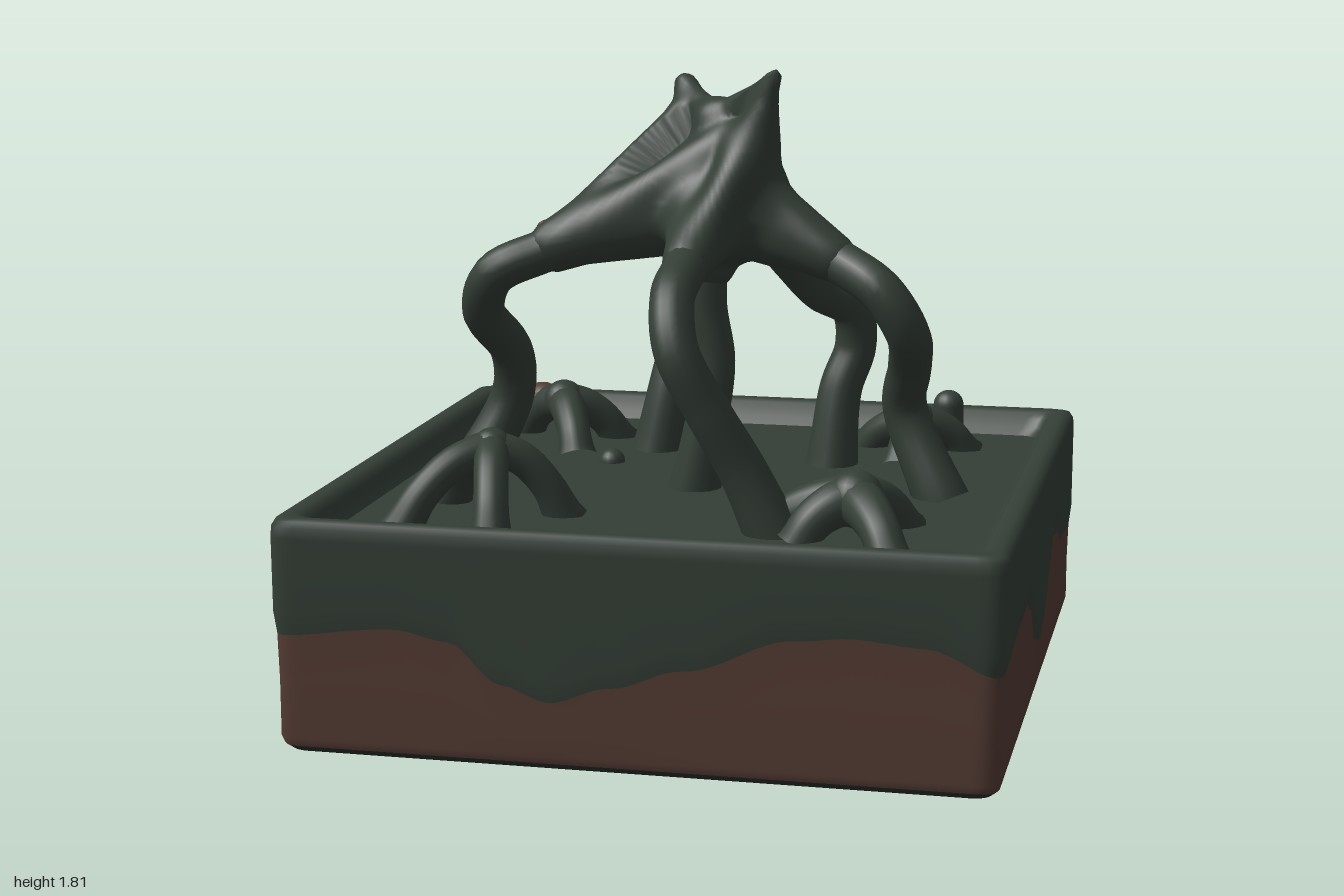
import * as THREE from 'three';
import { mergeVertices } from 'three/addons/utils/BufferGeometryUtils.js';

const moss = new THREE.MeshStandardMaterial({ color: 0x343e36 });
moss.name = 'dark moss green';
const earth = new THREE.MeshStandardMaterial({ color: 0x543b33 });
earth.name = 'earth brown';
const shade = new THREE.MeshStandardMaterial({ color: 0x2c312d });
shade.name = 'underside grey';

const V = (x, y, z) => new THREE.Vector3(x, y, z);

function add(parent, name, geometry, material) {
  const mesh = new THREE.Mesh(geometry, material);
  mesh.name = name;
  parent.add(mesh);
  return mesh;
}

// Height of the soil line along each wall, as [position, height] pairs,
// running anticlockwise: front, +x side, back, -x side.
const soil = [
  [[-1, .33], [-.65, .365], [-.5, .34], [-.35, .23], [-.22, .19], [-.05, .24], [.15, .3], [.45, .4], [.6, .415], [.8, .4], [1, .33]],
  [[-1, .33], [-.6, .36], [-.4, .37], [-.3, .33], [-.15, .2], [0, .16], [.1, .18], [.25, .3], [.38, .375], [.5, .36], [.65, .3], [1, .28]],
  [[-1, .28], [-.7, .25], [-.26, .2], [-.1, .27], [.1, .35], [.5, .35], [1, .29]],
  [[-1, .29], [-.57, .21], [-.24, .29], [.09, .42], [.29, .43], [.63, .37], [1, .33]],
];
function soilAt(side, t) {
  const p = soil[side];
  let i = 0;
  while (i < p.length - 2 && t > p[i + 1][0]) i++;
  const k = THREE.MathUtils.smoothstep(t, p[i][0], p[i + 1][0]);
  return THREE.MathUtils.lerp(p[i][1], p[i + 1][1], k);
}

// Rounded-square ring; y is a number or a rule of the soil height
function ring(r, y) {
  const pts = [], n = 80, c = Math.min(.05, r / 2);
  for (let s = 0; s < 4; s++) for (let i = 0; i < n; i++) {
    const t = -1 + 2 * i / n, p = V(t * r, 0, r);
    const q = V(THREE.MathUtils.clamp(p.x, c - r, r - c), 0, r - c);
    p.sub(q).setLength(c).add(q).applyAxisAngle(V(0, 1, 0), s * Math.PI / 2);
    p.y = typeof y === 'number' ? y : y(soilAt(s, t));
    pts.push(p);
  }
  return pts;
}

// Skin a series of closed rings
function loft(rows) {
  const n = rows[0].length, index = [];
  for (let j = 0; j < rows.length - 1; j++) for (let i = 0; i < n; i++) {
    const a = j * n + i, b = j * n + (i + 1) % n;
    index.push(a, b, b + n, a, b + n, a + n);
  }
  const g = new THREE.BufferGeometry().setFromPoints(rows.flat());
  g.setIndex(index);
  g.computeVertexNormals();
  return g;
}

// Tapered tube through points, with a slight flare at the foot
function limb(points, r0, r1, flare) {
  const curve = new THREE.CatmullRomCurve3(points), seg = 40, sides = 16;
  const g = new THREE.TubeGeometry(curve, seg, 1, sides, false);
  const pos = g.attributes.position, v = V(0, 0, 0);
  for (let i = 0; i <= seg; i++) {
    const t = i / seg, c = curve.getPointAt(t);
    const r = THREE.MathUtils.lerp(r0, r1, t) + flare * Math.pow(t, 6);
    for (let j = 0; j <= sides; j++) {
      const k = i * (sides + 1) + j;
      v.fromBufferAttribute(pos, k).sub(c).multiplyScalar(r).add(c);
      pos.setXYZ(k, v.x, v.y, v.z);
    }
  }
  return g;
}

// Crown: smoothly blended tapered bars [start, end, start radius, end radius]
const centre = V(.03, 1.42, 0), saddle = V(.03, 1.645, 0);
const peakA = V(.228, 1.79, .165), peakB = V(-.1, 1.735, -.165);
const shoulder = {
  right: V(-.42, 1.29, .13), left: V(.39, 1.28, .13), front: V(.02, 1.285, .35),
  back: V(-.13, 1.33, -.38), backLeft: V(.22, 1.24, -.24),
};
const bars = [
  [V(.11, 1.43, .07), peakA, .13, .01],
  [V(-.03, 1.43, -.09), peakB, .13, .026],
  [saddle, peakA, .05, .008],
  [saddle, peakB, .05, .02],
  [centre, saddle, .18, .055],
  [centre, V(.01, 1.24, .02), .16, .08],
  ...Object.values(shoulder).map(tip => [centre, tip, .15, .065]),
  // webs falling from the peaks to the shoulders
  [V(-.1, 1.64, -.1), shoulder.right, .05, .06],
  [V(.08, 1.6, .08), shoulder.right, .05, .05],
  [V(.16, 1.5, .1), shoulder.left, .05, .05],
  [V(.15, 1.6, .11), shoulder.front, .05, .05],
  [V(-.09, 1.6, -.14), shoulder.back, .05, .05],
  [V(0, 1.58, -.09), shoulder.backLeft, .05, .05],
  [V(.15, 1.58, .05), shoulder.backLeft, .05, .05],
];
function field(p) {
  let d = 1e3;
  for (const [from, to, r0, r1] of bars) {
    const axis = to.clone().sub(from), rel = p.clone().sub(from);
    const t = THREE.MathUtils.clamp(rel.dot(axis) / axis.lengthSq(), 0, 1);
    const e = rel.addScaledVector(axis, -t).length() - THREE.MathUtils.lerp(r0, r1, t);
    const k = .05, h = Math.max(k - Math.abs(d - e), 0) / k;
    d = Math.min(d, e) - h * h * k / 4;
  }
  return d;
}
function crownGeometry() {
  let g = new THREE.SphereGeometry(1, 120, 90);
  g.deleteAttribute('uv');
  g.deleteAttribute('normal');
  g = mergeVertices(g, 1e-5);
  const pos = g.attributes.position, dir = V(0, 0, 0), p = V(0, 0, 0);
  for (let i = 0; i < pos.count; i++) {
    dir.fromBufferAttribute(pos, i).normalize();
    let t = .08;
    for (let s = 0; s < 40; s++) {
      const d = field(p.copy(centre).addScaledVector(dir, t));
      if (d > -.0005) break;
      t -= d;
    }
    p.copy(centre).addScaledVector(dir, t);
    pos.setXYZ(i, p.x, p.y, p.z);
  }
  g.computeVertexNormals();
  return g;
}

export function createModel() {
  const model = new THREE.Group();
  model.name = 'rootedTree';
  const floorY = .575;

  // Tray block: underside, soil band, mossy wall with rim, sunken floor
  const base = new THREE.Group();
  base.name = 'base';
  model.add(base);
  add(base, 'underside', loft([ring(.001, 0), ring(.5, 0), ring(.96, 0), ring(.978, .018)]), shade);
  add(base, 'soilBand', loft([ring(.978, .018), ring(.985, .04), ring(.985, h => h * .6), ring(.988, h => h)]), earth);
  add(base, 'mossWall', loft([
    ring(.988, h => h), ring(.995, h => h + .06), ring(.996, .6), ring(.994, .63), ring(.985, .646), ring(.965, .651),
    ring(.945, .65), ring(.925, .642), ring(.915, .625), ring(.905, .6), ring(.885, floorY)]), moss);
  add(base, 'floor', loft([ring(.89, floorY), ring(.5, floorY), ring(.001, floorY)]), moss);

  add(model, 'crown', crownGeometry(), moss);

  // Long stilt roots
  const roots = {
    leftSideRoot: [V(.3, 1.325, .1), V(.4, 1.275, .13), V(.54, 1.2, .2), V(.615, 1.08, .18), V(.605, .96, .05), V(.58, .83, -.03), V(.7, .56, .02)],
    rightSideRoot: [V(-.33, 1.325, .11), V(-.45, 1.275, .14), V(-.59, 1.21, .17), V(-.65, 1.09, .1), V(-.615, .94, -.07), V(-.63, .8, -.13), V(-.74, .56, -.08)],
    frontRoot: [V(.02, 1.32, .26), V(.02, 1.275, .38), V(.02, 1.21, .54), V(.05, 1.08, .62), V(.13, .92, .6), V(.22, .75, .56), V(.31, .56, .55)],
    backRightRoot: [V(-.11, 1.35, -.28), V(-.13, 1.31, -.42), V(-.15, 1.23, -.55), V(-.17, 1.1, -.62), V(-.19, .96, -.56), V(-.22, .8, -.5), V(-.26, .56, -.46)],
    backLeftRoot: [V(.16, 1.3, -.15), V(.21, 1.21, -.24), V(.28, 1.11, -.33), V(.36, 1.05, -.4), V(.37, .93, -.43), V(.33, .8, -.4), V(.31, .56, -.36)],
    centreRoot: [V(.01, 1.3, .02), V(0, 1.12, .02), V(.025, .95, .02), V(.01, .8, .03), V(-.03, .56, .04)],
  };
  for (const name in roots) add(model, name, limb(roots[name], .063, .062, .02), moss);

  // Small arched root clusters: hub, hub radius, feet around it
  const clusters = [
    [V(-.5, .775, .53), .055, [[-.68, .35], [-.31, .45], [-.72, .7], [-.44, .75]]],
    [V(.53, .68, .54), .08, [[.64, .36], [.65, .71], [.28, .5], [.38, .6]]],
    [V(.54, .67, -.58), .062, [[.37, -.66], [.68, -.66], [.52, -.37]]],
    [V(-.58, .7, -.53), .065, [[-.74, -.64], [-.42, -.62], [-.49, -.35]]],
  ];
  clusters.forEach(([hub, size, feet], i) => {
    const group = new THREE.Group();
    group.name = 'rootCluster' + (i + 1);
    model.add(group);
    const knot = add(group, 'knot', new THREE.SphereGeometry(size, 20, 14), moss);
    knot.position.copy(hub);
    for (const [x, z] of feet) {
      const at = (t, y) => V(THREE.MathUtils.lerp(hub.x, x, t), y, THREE.MathUtils.lerp(hub.z, z, t));
      const fall = hub.y - floorY;
      const path = [hub, at(.4, hub.y - fall * .18), at(.75, hub.y - fall * .58), at(1, floorY - .02)];
      add(group, 'arm', limb(path, size * .9, .046, .02), moss);
    }
  });

  // Bare brown patches on the roots: [position, radii, turn]
  const patches = [
    [V(-.665, .69, -.595), V(.075, .052, .054), -.6],
    [V(-.13, 1.385, -.37), V(.02, .025, .03), 0],
    [V(-.44, 1.34, .12), V(.038, .025, .022), .2],
  ];
  for (const [p, size, turn] of patches) {
    const patch = add(model, 'barePatch', new THREE.SphereGeometry(1, 16, 10), earth);
    patch.position.copy(p);
    patch.scale.copy(size);
    patch.rotation.y = turn;
  }

  // Lone shoot and a low bump on the floor
  const shoot = add(model, 'shoot', new THREE.CapsuleGeometry(.048, .14, 8, 18), moss);
  shoot.position.set(.61, .61, -.81);
  const bump = add(model, 'bump', new THREE.SphereGeometry(.04, 18, 12), moss);
  bump.position.set(-.35, floorY, -.24);

  return model;
}
